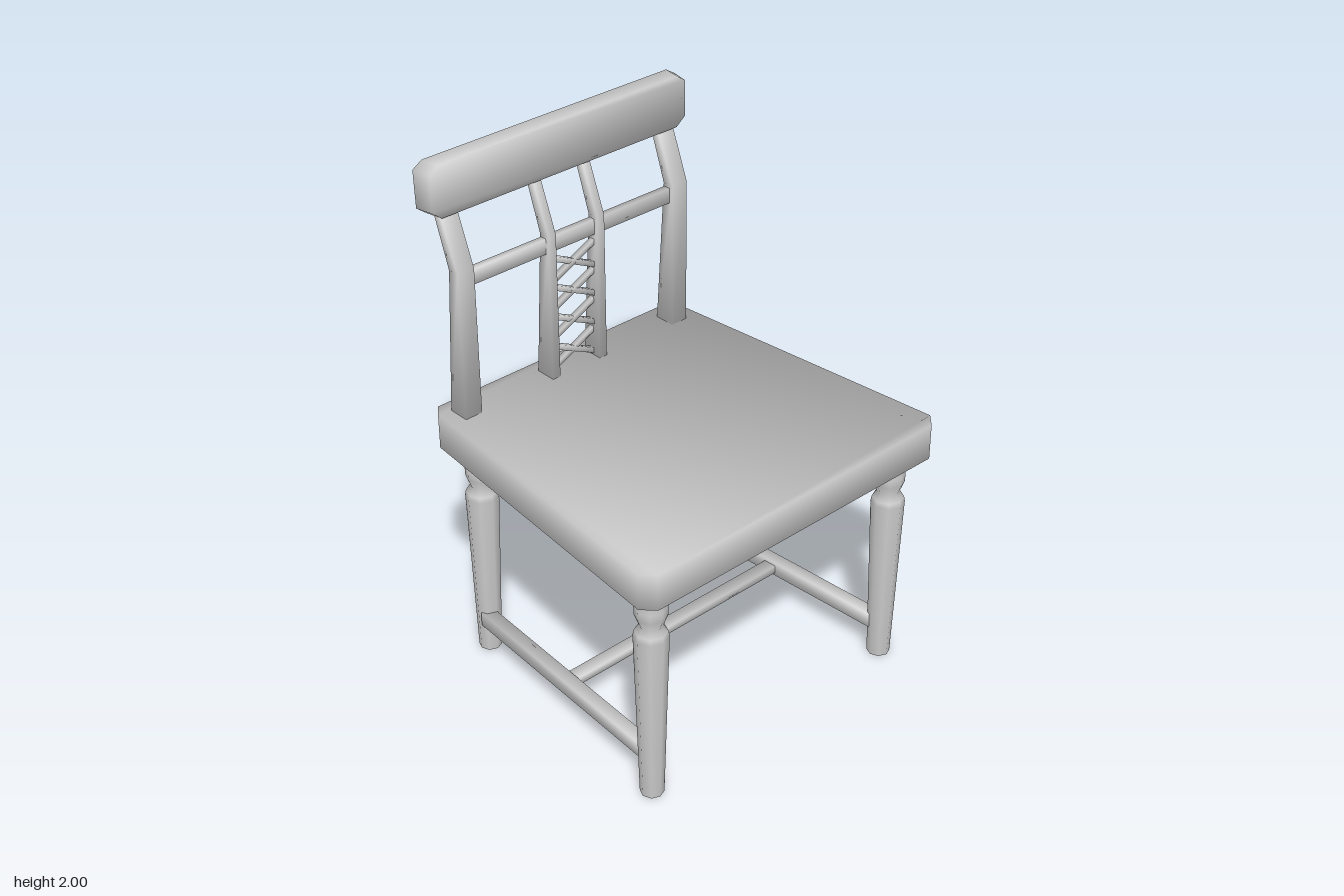
import * as THREE from 'three';

// Smooth shading over the edges: each corner takes the mean of the distinct face normals meeting there.
function soften(geometry) {
  const g = geometry.index ? geometry.toNonIndexed() : geometry;
  g.computeVertexNormals();
  const { position, normal } = g.attributes;
  const corners = new Map();
  const keyOf = (i) => [position.getX(i), position.getY(i), position.getZ(i)]
    .map((c) => Math.round(c * 1e4)).join();
  for (let i = 0; i < position.count; i++) {
    const n = new THREE.Vector3().fromBufferAttribute(normal, i);
    const list = corners.get(keyOf(i)) ?? [];
    if (!list.some((m) => m.dot(n) > 0.99)) list.push(n);
    corners.set(keyOf(i), list);
  }
  for (let i = 0; i < position.count; i++) {
    const mean = new THREE.Vector3();
    corners.get(keyOf(i)).forEach((n) => mean.add(n));
    mean.normalize();
    normal.setXYZ(i, mean.x, mean.y, mean.z);
  }
  return g;
}

function moveVertices(geometry, rule) {
  const p = geometry.attributes.position;
  const v = new THREE.Vector3();
  for (let i = 0; i < p.count; i++) {
    rule(v.fromBufferAttribute(p, i));
    p.setXYZ(i, v.x, v.y, v.z);
  }
  return geometry;
}

// Outline from the +x half, mirrored to -x.
function mirroredShape(half) {
  const points = half.map(([x, y]) => new THREE.Vector2(x, y));
  const other = half.map(([x, y]) => new THREE.Vector2(-x, y)).reverse();
  return new THREE.Shape([...points, ...other]);
}

export function createModel() {
  const group = new THREE.Group();
  const material = new THREE.MeshStandardMaterial({ color: 0xcccccc });

  function add(name, geometry, x = 0, y = 0, z = 0) {
    const mesh = new THREE.Mesh(geometry, material);
    mesh.name = name;
    mesh.position.set(x, y, z);
    group.add(mesh);
  }

  // Softly shaded bar between two points
  function bar(name, a, b, depth, height) {
    const from = new THREE.Vector3(...a), to = new THREE.Vector3(...b);
    const geometry = new THREE.BoxGeometry(depth, from.distanceTo(to), height);
    const along = to.clone().sub(from).normalize();
    const side = new THREE.Vector3().crossVectors(along, new THREE.Vector3(0, 1, 0)).normalize();
    const up = new THREE.Vector3().crossVectors(side, along);
    geometry.applyMatrix4(new THREE.Matrix4().makeBasis(side, along, up));
    const mid = from.add(to).multiplyScalar(0.5);
    add(name, soften(geometry), mid.x, mid.y, mid.z);
  }

  // Seat: tapered slab with clipped corners
  const seat = new THREE.ExtrudeGeometry(
    mirroredShape([[0.55, -0.637], [0.582, -0.595], [0.695, 0.59], [0.65, 0.637]]),
    { depth: 0.14, bevelEnabled: false });
  seat.rotateX(Math.PI / 2);
  add('seat', soften(seat), 0, 1.03, 0);

  // Turned eight-sided legs, the flared top pulled in to a diamond
  const legProfile = [
    [0, 0], [0.043, 0], [0.062, 0.685], [0.058, 0.705], [0.042, 0.73], [0.057, 0.77],
    [0.058, 0.805], [0.05, 0.852], [0.062, 0.862], [0.08, 0.872], [0.086, 0.9], [0, 0.9],
  ].map(([r, y]) => new THREE.Vector2(r, y));
  const leg = moveVertices(new THREE.LatheGeometry(legProfile, 8), (v) => {
    const spread = Math.abs(v.x) + Math.abs(v.z);
    if (v.y > 0.86 && spread > 0.088) {
      v.x *= 0.088 / spread;
      v.z *= 0.088 / spread;
    }
  });
  for (const s of [-1, 1]) {
    add('frontLeg', leg, s * 0.577, 0, 0.52);
    add('backLeg', leg, s * 0.477, 0, -0.503);
    bar('sideStretcher', [s * 0.56, 0.147, 0.5], [s * 0.498, 0.147, -0.487], 0.052, 0.057);
  }
  bar('crossStretcher', [-0.525, 0.147, 0.01], [0.525, 0.147, 0.01], 0.054, 0.032);

  // Back posts and spindles: they taper to a knee, then lean back
  const stations = [
    { y: 1.0, front: -0.5, back: -0.587 },
    { y: 1.61, front: -0.5, back: -0.545 },
    { y: 1.83, front: -0.585, back: -0.622 },
  ];
  function post(name, x, width) {
    const geometry = new THREE.BoxGeometry(width, 2, 1, 1, 2, 1);
    moveVertices(geometry, (v) => {
      const station = stations[Math.round(v.y) + 1];
      v.y = station.y;
      v.z = v.z > 0 ? station.front : station.back;
    });
    add(name, soften(geometry), x);
  }
  for (const s of [-1, 1]) {
    post('backPost', s * 0.494, 0.072);
    post('backSpindle', s * 0.112, 0.034);
  }

  // Rail between the posts
  bar('backCrossbar', [-0.475, 1.568, -0.528], [0.475, 1.568, -0.528], 0.026, 0.06);

  // Lattice between the spindles
  for (const y of [1.095, 1.22, 1.342, 1.46]) {
    const z = -0.545 + (y - 1) * 0.035;
    for (const s of [-1, 1]) {
      bar('latticeBar', [-0.108, y - s * 0.052, z], [0.108, y + s * 0.052, z], 0.02, 0.02);
    }
  }

  // Top rail: clipped corners, slightly narrower at the front
  const rail = new THREE.ExtrudeGeometry(
    mirroredShape([[0.548, 1.803], [0.59, 1.835], [0.59, 1.975], [0.55, 2]]),
    { depth: 0.073, bevelEnabled: false });
  moveVertices(rail, (v) => {
    if (v.z > 0.01) v.x *= 0.975;
    else if (v.y < 1.9) v.z += 0.006;
  });
  add('topRail', soften(rail), 0, 0, -0.632);

  return group;
}
